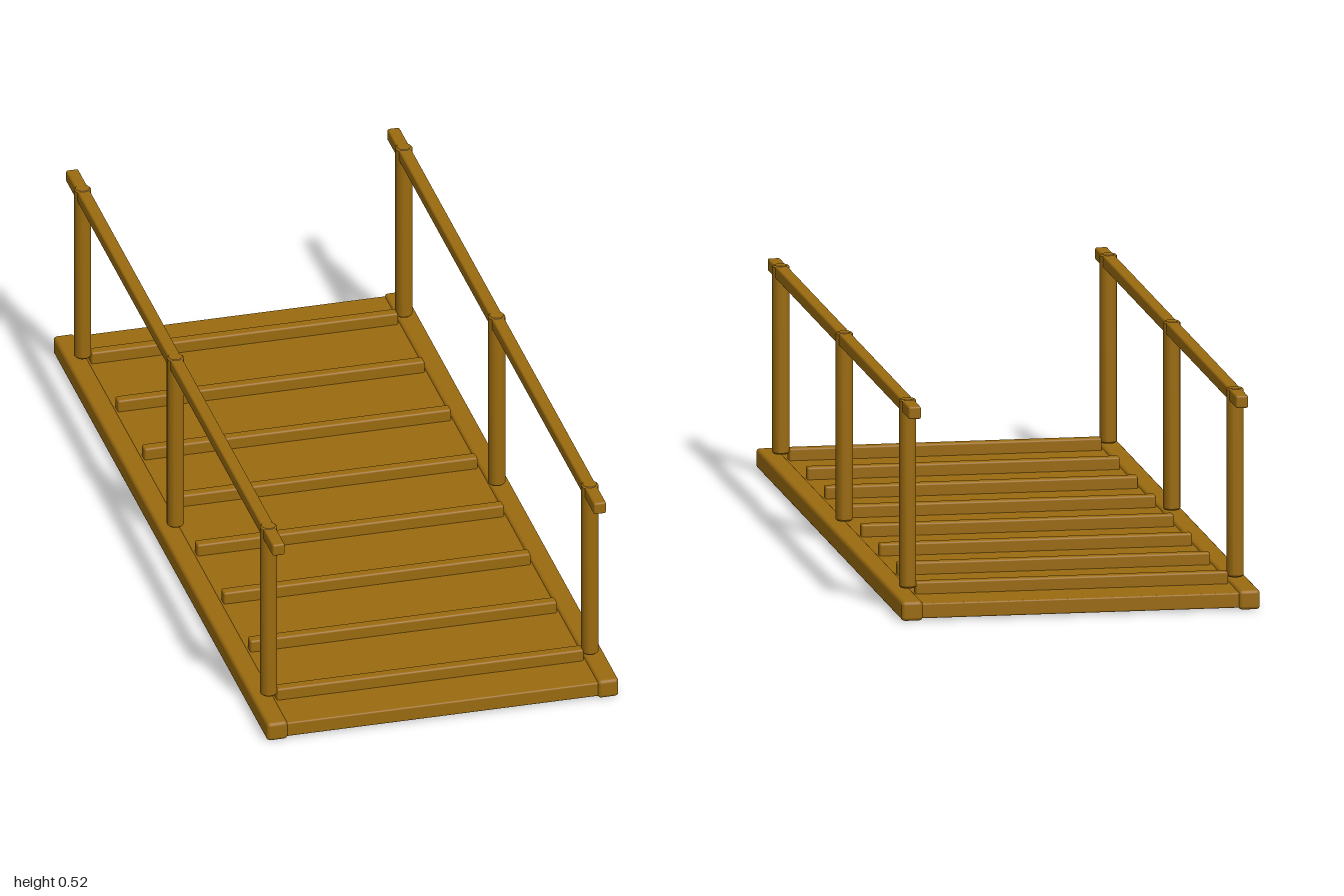
import * as THREE from 'three';
import { RoundedBoxGeometry } from 'three/addons/geometries/RoundedBoxGeometry.js';
import { toCreasedNormals } from 'three/addons/utils/BufferGeometryUtils.js';

export function createModel() {
  const bridge = new THREE.Group();
  bridge.name = 'footbridge';
  const wood = new THREE.MeshStandardMaterial({ color: 0x9a6a0f });
  wood.name = 'brown wood';

  function add(name, geometry, x, y, z) {
    const mesh = new THREE.Mesh(geometry, wood);
    mesh.name = name;
    mesh.position.set(x, y, z);
    bridge.add(mesh);
  }

  // Soft-edged timber
  const timber = (w, h, d, r) => new RoundedBoxGeometry(w, h, d, 2, r);

  // Walking deck
  add('deck', timber(0.82, 0.037, 1.99, 0.004), 0, 0.0285, 0);

  // Cross slats for grip
  const slat = timber(0.764, 0.034, 0.028, 0.005);
  for (let i = 0; i < 8; i++) add('crossSlat', slat, 0, 0.06, 0.866 - i * 0.247);

  // Round post with chamfered ends
  const post = toCreasedNormals(new THREE.LatheGeometry([
    new THREE.Vector2(0, 0.063),
    new THREE.Vector2(0.017, 0.063),
    new THREE.Vector2(0.021, 0.067),
    new THREE.Vector2(0.021, 0.521),
    new THREE.Vector2(0.017, 0.525),
    new THREE.Vector2(0, 0.525),
  ], 16), 0.6);

  // Side beams, posts and handrails, mirrored left and right
  const beam = timber(0.052, 0.048, 2, 0.009);
  const rail = timber(0.031, 0.031, 1.93, 0.005);
  for (const [side, s] of [['left', 1], ['right', -1]]) {
    add(side + 'SideBeam', beam, s * 0.412, 0.029, 0);
    add(side + 'Handrail', rail, s * 0.4, 0.508, 0);
    for (const z of [-0.866, 0, 0.868]) add(side + 'Post', post, s * 0.4, 0, z);
  }

  return bridge;
}
